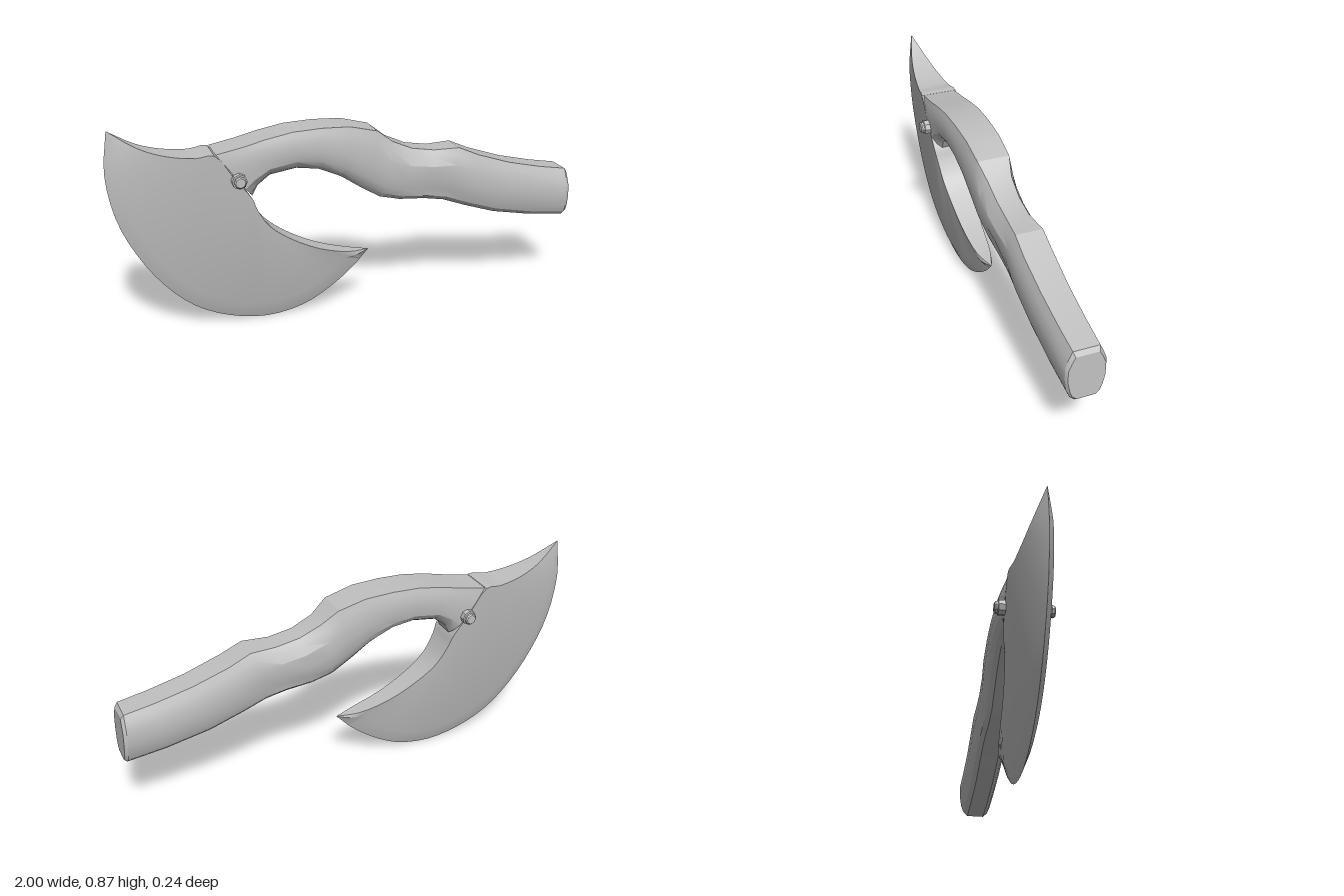
import * as THREE from 'three';
import { toCreasedNormals } from 'three/addons/utils/BufferGeometryUtils.js';

const steel = new THREE.MeshStandardMaterial({ color: 0xc0c0c0 });
steel.name = 'grey steel';

// Skin a row of closed cross-sections (arrays of Vector3), optionally capped
function loft(rings, capped) {
  const n = rings[0].length;
  const index = [];
  for (let k = 0; k < rings.length - 1; k++) {
    for (let j = 0; j < n; j++) {
      const a = k * n + j, b = k * n + (j + 1) % n;
      index.push(a, b, b + n, a, b + n, a + n);
    }
  }
  if (capped) {
    const last = (rings.length - 1) * n;
    for (let j = 1; j < n - 1; j++) {
      index.push(0, j + 1, j, last, last + j, last + j + 1);
    }
  }
  const geo = new THREE.BufferGeometry().setFromPoints(rings.flat());
  geo.setIndex(index);
  return toCreasedNormals(geo, 0.4);
}

function part(name, geo) {
  const mesh = new THREE.Mesh(geo, steel);
  mesh.name = name;
  return mesh;
}

const curve = (pts) => new THREE.CatmullRomCurve3(pts.map((p) => new THREE.Vector3(p[0], p[1], p[2] || 0)));

// Crescent blade: thick inner rim, thin bevel line, sharp outer edge
function makeBlade() {
  const edge = curve([
    [-0.98, 0.87], [-1.0, 0.7], [-0.97, 0.51], [-0.9, 0.35], [-0.8, 0.205], [-0.68, 0.095], [-0.54, 0.03],
    [-0.38, 0.003], [-0.22, 0.03], [-0.09, 0.1], [0.01, 0.18], [0.05, 0.223], [0.075, 0.25],
  ]);
  // x, y, half thickness
  const rim = curve([
    [-0.98, 0.87, 0], [-0.87, 0.8, 0.035], [-0.77, 0.765, 0.055], [-0.66, 0.75, 0.07], [-0.585, 0.755, 0.079],
    [-0.512, 0.657, 0.079], [-0.44, 0.56, 0.075], [-0.42, 0.51, 0.068], [-0.37, 0.43, 0.06],
    [-0.28, 0.36, 0.052], [-0.15, 0.295, 0.044], [-0.02, 0.26, 0.03], [0.075, 0.25, 0],
  ]);
  const rings = [];
  const steps = 36;
  for (let i = 0; i <= steps; i++) {
    const o = edge.getPoint(i / steps), r = rim.getPoint(i / steps);
    const h = Math.max(r.z, 0);
    const d = Math.hypot(r.x - o.x, r.y - o.y) || 1;
    const f = Math.min(0.07 / d, 0.45);
    const bx = o.x + (r.x - o.x) * f, by = o.y + (r.y - o.y) * f, bh = Math.min(0.027, h * 0.75);
    rings.push([
      new THREE.Vector3(r.x, r.y, h), new THREE.Vector3(bx, by, bh), o,
      new THREE.Vector3(bx, by, -bh), new THREE.Vector3(r.x, r.y, -h),
    ]);
  }
  return part('blade', loft(rings, false));
}

// Curved handle: top point, bottom point, half width, flat top share, lower side share
function makeHandle() {
  const sections = [
    [-0.58, 0.757, -0.434, 0.563, 0.08, 0.9, 0.97],
    [-0.47, 0.778, -0.412, 0.605, 0.083, 0.88, 0.95],
    [-0.38, 0.8, -0.36, 0.645, 0.085, 0.86, 0.93],
    [-0.27, 0.82, -0.25, 0.662, 0.086, 0.85, 0.92],
    [-0.15, 0.825, -0.155, 0.648, 0.086, 0.84, 0.92],
    [-0.03, 0.82, -0.06, 0.605, 0.085, 0.83, 0.92],
    [0.09, 0.79, 0.03, 0.545, 0.084, 0.8, 0.92],
    [0.16, 0.735, 0.11, 0.497, 0.081, 0.62, 0.92],
    [0.25, 0.695, 0.2, 0.475, 0.08, 0.58, 0.9],
    [0.35, 0.678, 0.31, 0.466, 0.08, 0.58, 0.78],
    [0.46, 0.68, 0.4, 0.45, 0.08, 0.7, 0.85],
    [0.55, 0.64, 0.5, 0.413, 0.08, 0.72, 0.9],
    [0.7, 0.59, 0.64, 0.367, 0.079, 0.7, 0.9],
    [0.85, 0.555, 0.82, 0.332, 0.079, 0.68, 0.9],
    [0.975, 0.533, 0.982, 0.313, 0.079, 0.66, 0.9],
    [0.988, 0.515, 0.995, 0.325, 0.072, 0.64, 0.88],
  ];
  const rings = sections.map(([tx, ty, bx, by, w, top, low]) => {
    // height share from top to bottom, width share
    const half = [[0, top], [0.13, (top + 1) / 2], [0.3, 1], [0.56, 1], [0.78, low], [0.92, 0.74], [1, 0.5]];
    const side = (s) => half.map(([t, f]) => new THREE.Vector3(tx + (bx - tx) * t, ty + (by - ty) * t, s * f * w));
    return [...side(1), ...side(-1).reverse()];
  });
  return part('handle', loft(rings, true));
}

// Rivet through the joint, with a stepped head on each side
function makeRivet() {
  const rivet = new THREE.Group();
  rivet.name = 'rivet';
  const pin = part('rivetPin', toCreasedNormals(new THREE.CylinderGeometry(0.024, 0.024, 0.2, 8), 0.4));
  pin.rotation.x = Math.PI / 2;
  rivet.add(pin);
  for (const s of [1, -1]) {
    const profile = [[0, 0.075], [0.031, 0.075], [0.031, 0.104], [0.025, 0.106], [0.025, 0.115], [0.02, 0.12], [0, 0.12]];
    const head = part('rivetHead', toCreasedNormals(
      new THREE.LatheGeometry(profile.map(([r, y]) => new THREE.Vector2(r, y)), 8), 0.4));
    head.rotation.x = s * Math.PI / 2;
    rivet.add(head);
  }
  rivet.position.set(-0.495, 0.647, 0);
  return rivet;
}

export function createModel() {
  const axe = new THREE.Group();
  axe.name = 'axe';
  axe.add(makeBlade(), makeHandle(), makeRivet());
  return axe;
}
